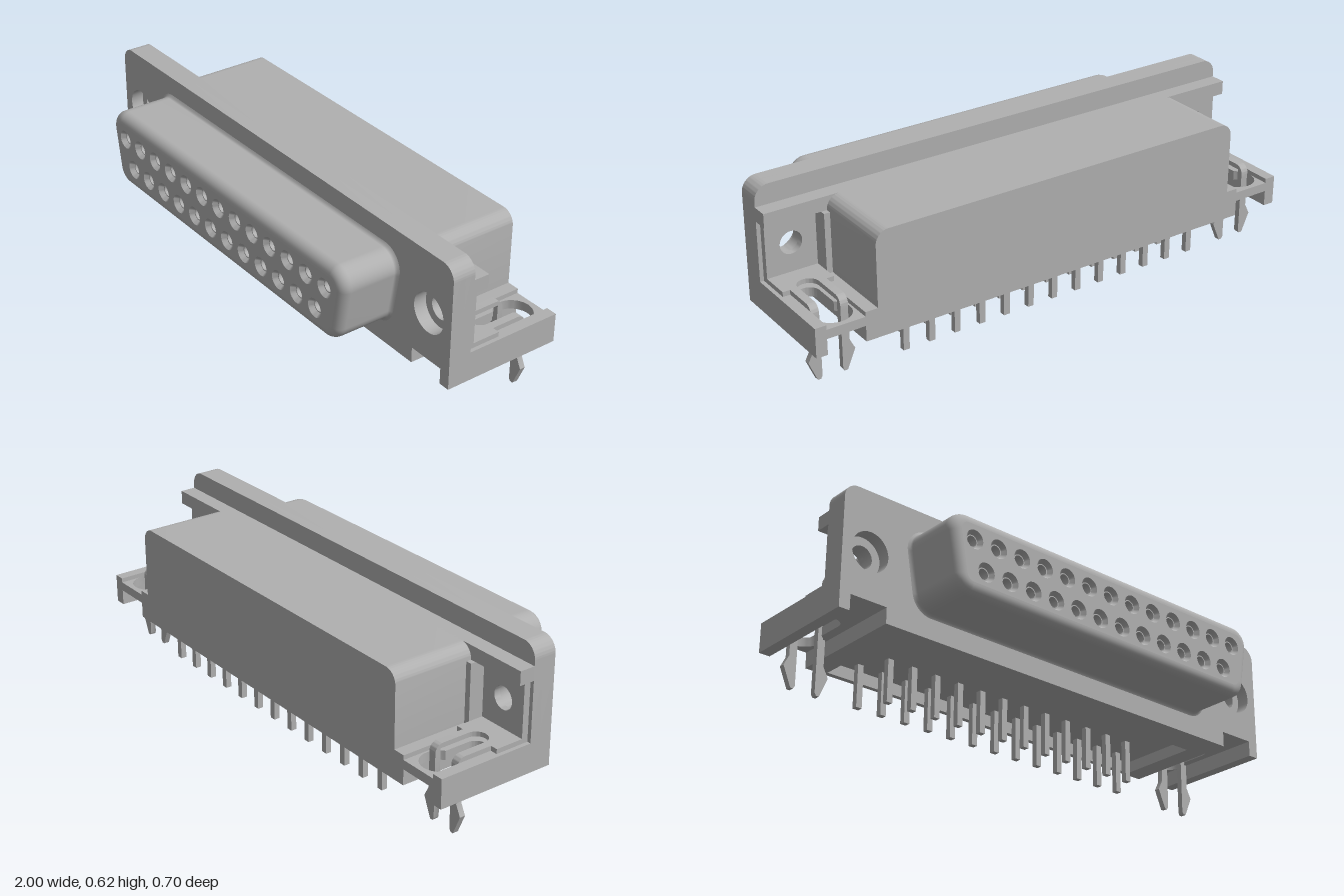
import * as THREE from 'three';
import { toCreasedNormals } from 'three/addons/utils/BufferGeometryUtils.js';

const grey = new THREE.MeshStandardMaterial({ color: 0xb0b0b0, side: THREE.DoubleSide });
grey.name = 'grey';

const HOLE_X = 0.887, HOLE_Y = 0.396;

function add(parent, name, geometry) {
  const mesh = new THREE.Mesh(geometry, grey);
  mesh.name = name;
  parent.add(mesh);
  return mesh;
}

// Box given by its limits on each axis
function box(parent, name, x0, x1, y0, y1, z0, z1) {
  const g = new THREE.BoxGeometry(Math.abs(x1 - x0), y1 - y0, z1 - z0);
  return add(parent, name, g.translate((x0 + x1) / 2, (y0 + y1) / 2, (z0 + z1) / 2));
}

function extrude(shape, z0, z1) {
  const g = new THREE.ExtrudeGeometry(shape, { depth: z1 - z0, bevelEnabled: false, curveSegments: 16 });
  return toCreasedNormals(g.translate(0, 0, z0), 0.6);
}

function polygon(points) {
  return new THREE.Shape(points.map(([x, y]) => new THREE.Vector2(x, y)));
}

function circle(x, y, r) {
  return new THREE.Path().absarc(x, y, r, 0, Math.PI * 2, true);
}

// Rectangle with rounded top corners and optional foot notches
function roundedTop(half, y0, y1, r, notched) {
  const s = new THREE.Shape().moveTo(-half, y0);
  if (notched) {
    for (const [a, b] of [[-0.957, -0.81], [0.81, 0.957]]) {
      s.lineTo(a, y0).lineTo(a, 0.215).lineTo(b, 0.215).lineTo(b, y0);
    }
  }
  s.lineTo(half, y0);
  s.absarc(half - r, y1 - r, r, 0, Math.PI / 2, false);
  s.absarc(-half + r, y1 - r, r, Math.PI / 2, Math.PI, false);
  return s.closePath();
}

// D-shaped outline, shrunk by an inset
function dOutline(inset) {
  const r = 0.07 - inset, pts = [], n = 10;
  const corners = [[0.652, 0.47, -10, 90], [-0.652, 0.47, 90, 190], [-0.625, 0.315, 190, 270], [0.625, 0.315, 270, 350]];
  for (const [cx, cy, a0, a1] of corners) {
    for (let i = 0; i <= n; i++) {
      const a = THREE.MathUtils.degToRad(a0 + (a1 - a0) * i / n);
      pts.push(new THREE.Vector2(cx + r * Math.cos(a), cy + r * Math.sin(a)));
    }
  }
  return pts;
}

// Shell wall lofted through D outlines
function shellWall() {
  const loops = [[0.12, -0.012], [0.125, -0.004], [0.133, 0], [0.31, 0]];
  for (let i = 1; i <= 8; i++) {
    const a = i / 8 * Math.PI / 2;
    loops.push([0.31 + 0.04 * Math.sin(a), 0.04 * (1 - Math.cos(a))]);
  }
  const pos = [], index = [];
  let n = 0;
  loops.forEach(([z, inset], j) => {
    const pts = dOutline(inset);
    n = pts.length;
    pts.forEach((p, i) => {
      pos.push(p.x, p.y, z);
      if (j === 0) return;
      const k = (i + 1) % n, lo = (j - 1) * n, hi = j * n;
      index.push(lo + i, lo + k, hi + k, lo + i, hi + k, hi + i);
    });
  });
  const g = new THREE.BufferGeometry();
  g.setAttribute('position', new THREE.Float32BufferAttribute(pos, 3));
  g.setIndex(index);
  g.computeVertexNormals();
  return g;
}

// Moulded foot beside the body, s = side
function foot(s) {
  const g = new THREE.Group();
  g.name = s > 0 ? 'leftFoot' : 'rightFoot';
  box(g, 'outerRail', s * 0.957, s, 0.155, 0.267, -0.35, 0.03);
  box(g, 'innerRail', s * 0.755, s * 0.81, 0.155, 0.267, -0.35, 0.03);
  box(g, 'gusset', s * 0.75, s * 0.785, 0.267, 0.497, -0.05, 0.03);

  // floor with keyhole; shape y is -z
  const cx = s * HOLE_X;
  const floor = polygon([[cx - 0.08, -0.03], [cx + 0.08, -0.03], [cx + 0.08, 0.35], [cx - 0.08, 0.35]]);
  const key = new THREE.Path().moveTo(cx - 0.04, 0.105);
  key.absarc(cx, 0.105, 0.04, Math.PI, Math.PI * 2, false);
  key.lineTo(cx + 0.04, 0.2025);
  key.absarc(cx, 0.26, 0.07, -0.963, Math.PI + 0.963, false);
  key.closePath();
  floor.holes.push(key);
  add(g, 'keyholeFloor', extrude(floor, 0.215, 0.25).rotateX(-Math.PI / 2));
  return g;
}

// Bent metal board lock with two barbed legs
function boardLock(s) {
  const g = new THREE.Group();
  g.name = s > 0 ? 'leftBoardLock' : 'rightBoardLock';
  g.position.x = s * HOLE_X;

  const back = polygon([[-0.098, 0.267], [0.098, 0.267], [0.098, 0.492], [-0.098, 0.492]]);
  back.holes.push(circle(0, HOLE_Y, 0.043));
  add(g, 'uprightPlate', extrude(back, 0.005, 0.03));

  const flat = new THREE.Shape().moveTo(-0.098, -0.03).lineTo(0.098, -0.03).lineTo(0.098, 0.105).lineTo(0.04, 0.105);
  flat.absarc(0, 0.105, 0.04, 0, Math.PI, true);
  flat.lineTo(-0.098, 0.105).closePath();
  add(g, 'flatPlate', extrude(flat, 0.267, 0.285).rotateX(-Math.PI / 2));

  const bend = new THREE.Shape().moveTo(0.105, 0.267).lineTo(0.105, 0.285).lineTo(0.215, 0.285);
  bend.absarc(0.215, 0.253, 0.032, Math.PI / 2, 0, true);
  bend.lineTo(0.247, 0.24).lineTo(0.225, 0.24).lineTo(0.225, 0.267).closePath();
  for (const t of [-1, 1]) {
    add(g, 'prong', extrude(bend, t > 0 ? 0.04 : -0.07, t > 0 ? 0.07 : -0.04).rotateY(Math.PI / 2));
    const leg = polygon([[0.04, 0.25], [0.04, 0.01], [0.046, 0], [0.058, 0], [0.09, 0.075], [0.07, 0.115], [0.07, 0.25]]
      .map(([x, y]) => [t * x, y]));
    add(g, 'barbedLeg', extrude(leg, -0.247, -0.225));
  }
  return g;
}

export function createModel() {
  const model = new THREE.Group();
  model.name = 'connector';

  // Flange in two layers, giving counterbored screw holes
  for (const [name, z0, z1, r] of [['flangeFront', 0.07, 0.12, 0.075], ['flangeBack', 0.03, 0.07, 0.043]]) {
    const s = roundedTop(1, 0.155, 0.625, 0.055, true);
    for (const t of [-1, 1]) s.holes.push(circle(t * HOLE_X, HOLE_Y, r));
    add(model, name, extrude(s, z0, z1));
  }
  box(model, 'flangeRib', -1, 1, 0.497, 0.55, -0.03, 0.03);

  // Rear housing with a shallow recess underneath
  add(model, 'housing', extrude(roundedTop(0.762, 0.2, 0.55, 0.05, false), -0.35, 0.03));
  box(model, 'skirtBack', -0.762, 0.762, 0.155, 0.2, -0.35, -0.33);
  box(model, 'skirtFront', -0.762, 0.762, 0.155, 0.2, 0, 0.03);
  for (const s of [-1, 1]) box(model, 'skirtSide', s * 0.73, s * 0.762, 0.155, 0.2, -0.35, 0.03);

  // Contact positions: 13 above, 12 below
  const contacts = [];
  for (let i = 0; i < 13; i++) contacts.push([(i - 6) * 0.1043, 0.444, -0.289]);
  for (let i = 0; i < 12; i++) contacts.push([(i - 5.5) * 0.1043, 0.337, -0.181]);

  // D-shaped shell with pierced face
  add(model, 'shellWall', shellWall());
  const face = new THREE.Shape(dOutline(0.04));
  for (const [x, y] of contacts) face.holes.push(circle(x, y, 0.036));
  add(model, 'shellFace', new THREE.ShapeGeometry(face, 12).translate(0, 0, 0.35));

  // Countersunk sockets and board pins
  const profile = [[0, 0.25], [0.02, 0.25], [0.02, 0.333], [0.024, 0.333], [0.036, 0.35]].map(([r, z]) => new THREE.Vector2(r, z));
  const socket = toCreasedNormals(new THREE.LatheGeometry(profile, 24).rotateX(Math.PI / 2), 0.5);
  for (const [x, y, z] of contacts) {
    add(model, 'socket', socket).position.set(x, y, 0);
    box(model, 'pin', x - 0.012, x + 0.012, 0.035, 0.21, z - 0.011, z + 0.011);
  }

  for (const s of [-1, 1]) model.add(foot(s), boardLock(s));
  return model;
}
